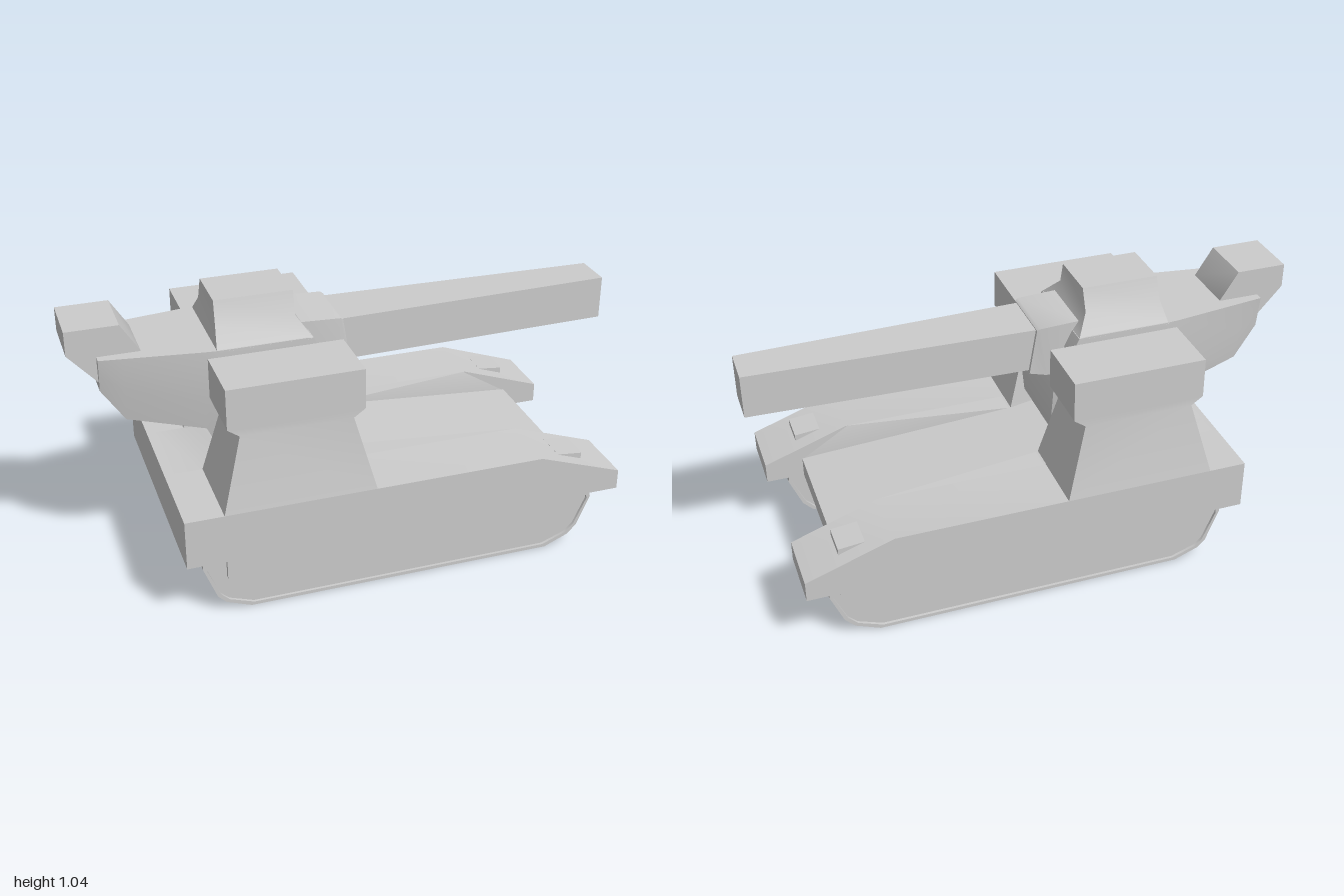
import * as THREE from 'three';
import { toCreasedNormals } from 'three/addons/utils/BufferGeometryUtils.js';

const solid = new THREE.MeshStandardMaterial({ color: 0xcccccc });
const sheet = new THREE.MeshStandardMaterial({ color: 0xcccccc, side: THREE.DoubleSide });

function addMesh(parent, name, geometry, material = solid) {
  const mesh = new THREE.Mesh(toCreasedNormals(geometry, 0.65), material);
  mesh.name = name;
  parent.add(mesh);
}

// Side profile [x, y] extruded between two z positions, with an optional hole.
function prism(profile, z0, z1, hole) {
  const shape = new THREE.Shape(profile.map(p => new THREE.Vector2(...p)));
  if (hole) shape.holes.push(new THREE.Path(hole.map(p => new THREE.Vector2(...p))));
  const g = new THREE.ExtrudeGeometry(shape, { depth: Math.abs(z1 - z0), bevelEnabled: false });
  return g.translate(0, 0, Math.min(z0, z1));
}

// Surface through equal-length rings of [x, y, z]; winding is turned outward by volume.
function loft(rings, capped = true) {
  const n = rings[0].length;
  const tris = [];
  for (let r = 0; r < rings.length - 1; r++) {
    for (let i = 0; i < n; i++) {
      const j = (i + 1) % n;
      const a = rings[r][i], b = rings[r][j], c = rings[r + 1][j], d = rings[r + 1][i];
      tris.push([a, b, c], [a, c, d]);
    }
  }
  const first = rings[0], last = rings[rings.length - 1];
  for (let i = 1; capped && i < n - 1; i++) {
    tris.push([first[0], first[i + 1], first[i]], [last[0], last[i], last[i + 1]]);
  }
  const v = p => new THREE.Vector3(...p);
  const volume = tris.reduce((s, [a, b, c]) => s + v(a).dot(v(b).cross(v(c))), 0);
  if (volume < 0) tris.forEach(t => t.reverse());
  const g = new THREE.BufferGeometry();
  g.setAttribute('position', new THREE.Float32BufferAttribute(tris.flat(2), 3));
  return g;
}

// Horizontal rectangle at height y.
const level = (y, x0, x1, z0, z1) => [[x0, y, z0], [x1, y, z0], [x1, y, z1], [x0, y, z1]];
// Rectangle across the model, with its own x at the bottom and top edges.
const slice = (x0, y0, x1, y1, w) => [[x0, y0, -w], [x1, y1, -w], [x1, y1, w], [x0, y0, w]];

function addSide(parent, s) {
  const side = new THREE.Group();
  side.name = s > 0 ? 'leftSide' : 'rightSide';
  parent.add(side);

  // Track: raised rim around a slightly recessed core
  const outer = [[-0.64, 0.25], [-0.648, 0.19], [-0.6, 0.065], [-0.57, 0.035], [-0.48, 0],
    [0.66, 0], [0.75, 0.038], [0.785, 0.075], [0.832, 0.19], [0.818, 0.25]];
  const inner = outer.map(([x, y]) => [0.09 + (x - 0.09) * 0.982, 0.125 + (y - 0.125) * 0.9]);
  addMesh(side, 'trackRim', prism(outer, s * 0.277, s * 0.431, inner));
  addMesh(side, 'trackCore', prism(inner, s * 0.287, s * 0.421));

  // Fender with sloping nose, and its inner wall converging towards the rear
  addMesh(side, 'fender', prism(
    [[-0.71, 0.235], [0.915, 0.235], [0.915, 0.31], [0.6, 0.42], [-0.71, 0.42]], s * 0.24, s * 0.473));
  const plan = (y, tip) => [
    [-0.71, y, s * 0.241], [tip, y, s * 0.241], [-0.02, y, s * 0.155], [-0.71, y, s * 0.155]];
  addMesh(side, 'innerFender', loft([plan(0.24, 0.775), plan(0.31, 0.775), plan(0.42, 0.6)]));

  // Thin skirt over the track
  addMesh(side, 'skirt', prism(
    [[-0.57, 0.165], [0.51, 0.165], [0.59, 0.228], [0.8, 0.228], [0.8, 0.25], [-0.57, 0.25]],
    s * 0.457, s * 0.473));

  // Headlight wedge on the nose
  addMesh(side, 'headlight', prism([[0.69, 0.38], [0.785, 0.35], [0.785, 0.379], [0.69, 0.389]], s * 0.3, s * 0.417));

  // Tower carrying the turret
  addMesh(side, 'tower', loft([
    level(0.42, -0.572, -0.028, s * 0.153, s * 0.473),
    level(0.69, -0.498, -0.1, s * 0.188, s * 0.427),
    level(0.72, -0.54, -0.058, s * 0.188, s * 0.427),
    level(0.867, -0.54, -0.058, s * 0.188, s * 0.425),
  ]));
}

function addTurret(parent) {
  const turret = new THREE.Group();
  turret.name = 'turret';
  parent.add(turret);

  // Body sections, each with [x, y, half width] for the shoulder, top and bottom
  const sections = [
    [[-0.9, 0.83, 0.127], [-0.9, 0.892, 0.135], [-0.9, 0.77, 0.118]],
    [[-0.82, 0.77, 0.137], [-0.82, 0.892, 0.146], [-0.82, 0.65, 0.122]],
    [[-0.55, 0.7, 0.18], [-0.55, 0.892, 0.184], [-0.55, 0.585, 0.16]],
    [[-0.5, 0.69, 0.187], [-0.5, 0.892, 0.189], [-0.5, 0.475, 0.135]],
    [[-0.14, 0.69, 0.187], [-0.19, 0.892, 0.189], [-0.13, 0.475, 0.135]],
    [[-0.072, 0.69, 0.187], [-0.165, 0.89, 0.189], [-0.08, 0.505, 0.141]],
  ];
  addMesh(turret, 'turretBody', loft(sections.map(([m, t, b]) =>
    [[m, -1], [t, -1], [t, 1], [m, 1], [b, 1], [b, -1]].map(([[x, y, w], sz]) => [x, y, w * sz]))));

  // Cupola
  addMesh(turret, 'cupola', loft([
    level(0.887, -0.507, -0.165, -0.189, 0.189),
    level(0.955, -0.495, -0.212, -0.125, 0.125),
    level(1.037, -0.492, -0.21, -0.097, 0.097),
  ]));

  // Gun mantlet and tapered square barrel
  addMesh(turret, 'mantlet', loft([
    slice(-0.2, 0.72, -0.2, 0.922, 0.12),
    slice(-0.07, 0.722, -0.045, 0.915, 0.12),
    slice(-0.008, 0.738, -0.035, 0.908, 0.116),
  ]));
  addMesh(turret, 'barrel', loft([slice(-0.06, 0.745, -0.06, 0.905, 0.105), slice(1, 0.745, 1, 0.905, 0.073)]));

  // Rear sight housing
  addMesh(turret, 'rearHousing', prism(
    [[-1, 0.91], [-0.88, 0.775], [-0.74, 0.84], [-0.75, 0.895], [-0.815, 0.998], [-1, 0.998]], -0.105, 0.105));
}

export function createModel() {
  const model = new THREE.Group();
  model.name = 'tank';

  // Centre hull: sloping deck above an open-bottomed keel
  addMesh(model, 'deck', prism(
    [[-0.71, 0.235], [0.775, 0.235], [0.775, 0.31], [-0.02, 0.42], [-0.3, 0.465], [-0.46, 0.465],
      [-0.55, 0.42], [-0.71, 0.42]], -0.24, 0.24));
  addMesh(model, 'keel', loft([
    level(0.24, -0.6, 0.6, -0.238, 0.238), level(0.07, -0.5, 0.5, -0.238, 0.238)], false), sheet);

  for (const s of [1, -1]) addSide(model, s);
  addTurret(model);
  return model;
}
